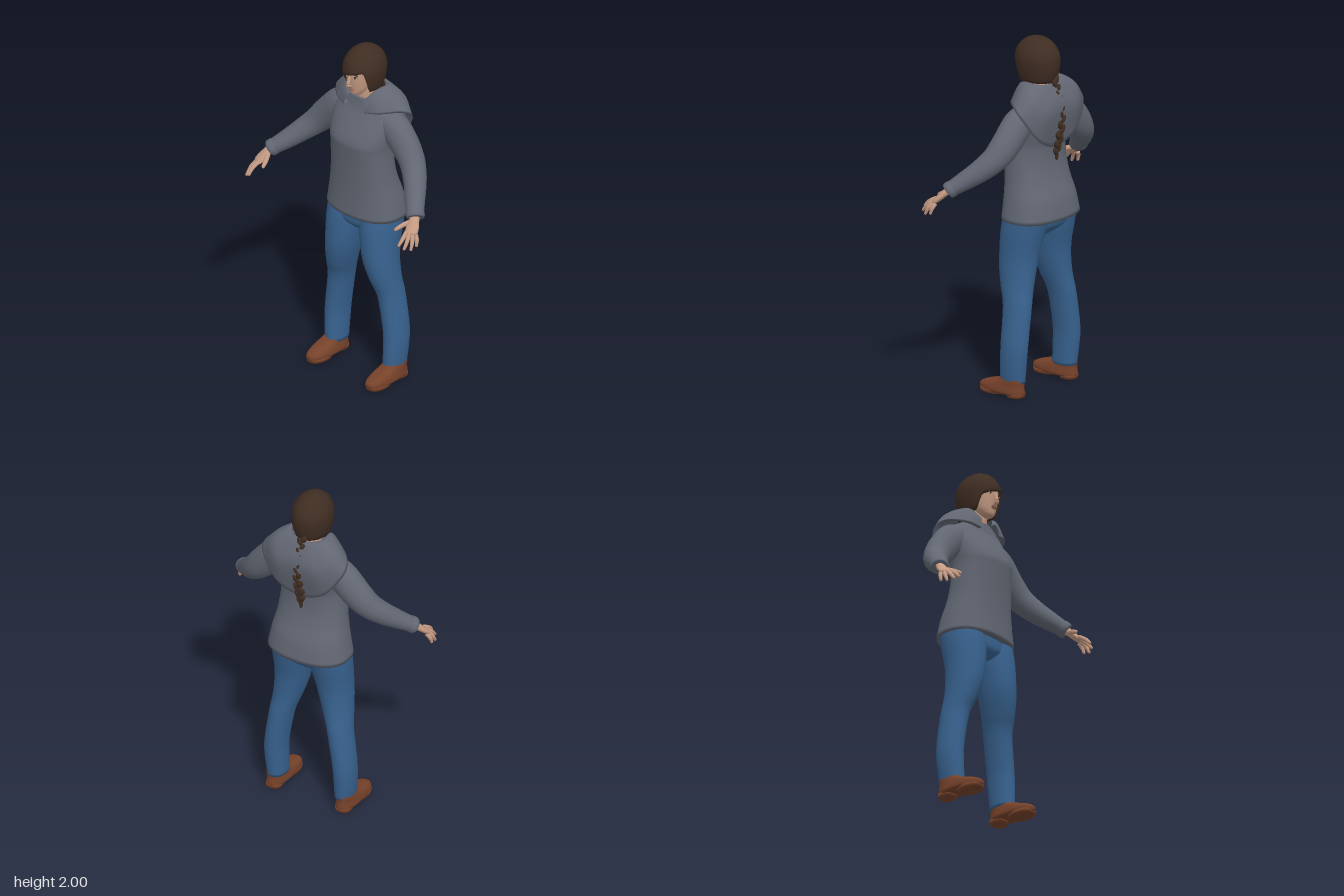
import * as THREE from 'three';

const mat = (name, color, side = THREE.FrontSide) => {
  const m = new THREE.MeshStandardMaterial({ color, side });
  m.name = name;
  return m;
};

// Catmull-Rom resampling of rows of numbers, k steps per span
function smooth(rows, k) {
  const out = [], at = i => rows[Math.max(0, Math.min(rows.length - 1, i))];
  for (let i = 0; i < rows.length - 1; i++) {
    for (let j = 0; j < k; j++) {
      const t = j / k;
      out.push(rows[i].map((b, c) => {
        const a = at(i - 1)[c], d = at(i + 1)[c], e = at(i + 2)[c];
        return 0.5 * (2 * b + (d - a) * t + (2 * a - 5 * b + 4 * d - e) * t * t + (3 * b - a - 3 * d + e) * t ** 3);
      }));
    }
  }
  out.push(rows[rows.length - 1]);
  return out;
}

// Surface through rows of [x, y, z] points, listed from bottom to top
function surface(rows, closed = true, caps = closed) {
  const n = rows[0].length, pos = rows.flat(2), idx = [];
  for (let j = 0; j < rows.length - 1; j++) {
    for (let i = 0; i < (closed ? n : n - 1); i++) {
      const k = (i + 1) % n, a = j * n + i, b = j * n + k;
      idx.push(a, b, b + n, a, b + n, a + n);
    }
  }
  if (caps) {
    [0, rows.length - 1].forEach(j => {
      const c = pos.length / 3;
      pos.push(...[0, 1, 2].map(q => rows[j].reduce((s, p) => s + p[q], 0) / n));
      for (let i = 0; i < n; i++) {
        const a = j * n + i, b = j * n + (i + 1) % n;
        if (j) idx.push(a, b, c); else idx.push(b, a, c);
      }
    });
  }
  const g = new THREE.BufferGeometry();
  g.setAttribute('position', new THREE.Float32BufferAttribute(pos, 3));
  g.setIndex(idx);
  g.computeVertexNormals();
  return g;
}

// Level cross-sections: [y, centreX, centreZ, radiusX, radiusZ], squared off by power e
function stack(sections, e = 2, k = 4, seg = 40) {
  const p = v => Math.sign(v) * Math.abs(v) ** (2 / e);
  return surface(smooth(sections, k).map(([y, cx, cz, rx, rz]) =>
    Array.from({ length: seg }, (_, i) => {
      const a = i / seg * Math.PI * 2;
      return [cx + rx * p(Math.sin(a)), y, cz + rz * p(Math.cos(a))];
    })));
}

// Limb along a path of [x, y, z, width, thickness]; s mirrors x
function limb(path, s = 1, k = 5, seg = 20) {
  const pts = smooth(path, k).map(([x, ...r]) => [x * s, ...r]);
  const up = new THREE.Vector3(0, 1, 0);
  return surface(pts.map((p, i) => {
    const a = pts[Math.max(0, i - 1)], b = pts[Math.min(pts.length - 1, i + 1)];
    const t = new THREE.Vector3(b[0] - a[0], b[1] - a[1], b[2] - a[2]).normalize();
    const u = new THREE.Vector3().crossVectors(up, t).normalize();
    const v = new THREE.Vector3().crossVectors(t, u);
    return Array.from({ length: seg }, (_, j) => {
      const q = j / seg * Math.PI * 2, c = Math.cos(q) * p[3], d = Math.sin(q) * p[4];
      return [p[0] + u.x * c + v.x * d, p[1] + u.y * c + v.y * d, p[2] + u.z * c + v.z * d];
    });
  }));
}

export function createModel() {
  const model = new THREE.Group();
  model.name = 'figure';
  const skin = mat('skin', 0xc49a82), cloth = mat('hoodieGrey', 0x626773, THREE.DoubleSide);
  const denim = mat('denim', 0x38628f), leather = mat('shoeBrown', 0x76422a);
  const hairMat = mat('hairBrown', 0x3f2d22, THREE.DoubleSide);
  const white = mat('eyeWhite', 0xcfc4ba), lipMat = mat('lips', 0x9c665a);
  const add = (name, geo, m) => {
    const o = new THREE.Mesh(geo, m);
    o.name = name;
    model.add(o);
    return o;
  };
  const ball = (name, m, p, r) => {
    const o = add(name, new THREE.SphereGeometry(1, 16, 12), m);
    o.position.set(...p);
    o.scale.set(...r);
    return o;
  };

  // Hoodie body
  add('hoodieBody', stack([
    [0.99, 0, -0.092, 0.243, 0.167], [1.1, 0, -0.085, 0.223, 0.155], [1.2, 0, -0.068, 0.203, 0.138],
    [1.3, 0, -0.055, 0.192, 0.13], [1.4, 0, -0.05, 0.187, 0.135], [1.46, 0, -0.057, 0.193, 0.143],
    [1.55, 0, -0.085, 0.205, 0.127], [1.62, 0, -0.1, 0.19, 0.102], [1.665, 0, -0.1, 0.15, 0.088],
    [1.695, 0, -0.09, 0.09, 0.072]], 2.35), cloth);

  // Hood: half profiles from collar to hem, front to back, then mirrored
  const half = [
    [[0.05, 1.70, -0.02], [0.058, 1.705, 0], [0.068, 1.675, 0.012], [0.075, 1.637, 0.014]],
    [[0.09, 1.755, -0.05], [0.105, 1.755, -0.04], [0.13, 1.715, -0.025], [0.16, 1.652, -0.015]],
    [[0.1, 1.765, -0.11], [0.125, 1.765, -0.11], [0.18, 1.73, -0.11], [0.245, 1.655, -0.11]],
    [[0.09, 1.76, -0.14], [0.115, 1.76, -0.165], [0.185, 1.70, -0.195], [0.255, 1.6, -0.18]],
    [[0.05, 1.755, -0.17], [0.07, 1.745, -0.195], [0.13, 1.62, -0.245], [0.15, 1.46, -0.215]],
    [[0, 1.755, -0.18], [0, 1.745, -0.2], [0, 1.62, -0.25], [0, 1.4, -0.207]]];
  const flip = half.slice(0, -1).reverse().map(pr => pr.map(([x, y, z]) => [-x, y, z]));
  const profiles = [...half, ...flip].map(pr => smooth(pr, 5));
  const hoodRows = profiles[0].map((_, v) => smooth(profiles.map(pr => pr[v]), 6));
  const hem = hoodRows[hoodRows.length - 1].map(([x, y, z]) => [x * 0.86, y + 0.005, z + (-0.1 - z) * 0.25]);
  add('hood', surface([...hoodRows, hem].reverse(), false), cloth);

  // Hips
  add('hips', stack([[0.885, 0, -0.07, 0.04, 0.07], [0.92, 0, -0.075, 0.15, 0.11],
    [0.96, 0, -0.085, 0.215, 0.127], [1.04, 0, -0.092, 0.222, 0.13]], 2.3), denim);

  for (const s of [1, -1]) {
    const side = s > 0 ? 'left' : 'right';

    // Trouser leg
    add(side + 'Leg', stack([
      [0.08, 0.213, -0.078, 0.053, 0.076], [0.18, 0.217, -0.085, 0.059, 0.08], [0.3, 0.214, -0.091, 0.062, 0.083],
      [0.5, 0.184, -0.085, 0.067, 0.085], [0.6, 0.162, -0.065, 0.077, 0.096], [0.7, 0.143, -0.053, 0.089, 0.108],
      [0.8, 0.13, -0.055, 0.099, 0.116], [0.92, 0.12, -0.072, 0.111, 0.128], [1.02, 0.115, -0.092, 0.112, 0.131],
    ].map(([y, x, ...r]) => [y, x * s, ...r]), 2.1), denim);

    // Shoe upper, ball of the sole and heel
    const x = 0.219 * s;
    add(side + 'Shoe', stack([
      [0.014, x, -0.008, 0.054, 0.144], [0.025, x, -0.008, 0.06, 0.148], [0.045, x, -0.01, 0.059, 0.144],
      [0.065, x, -0.03, 0.055, 0.122], [0.09, x, -0.07, 0.05, 0.083], [0.115, x, -0.085, 0.045, 0.064]], 2.4), leather);
    add(side + 'Sole', stack([[0, x, 0.055, 0.053, 0.078], [0.022, x, 0.055, 0.057, 0.082]], 2.3, 1), leather);
    add(side + 'Heel', stack([[0, x, -0.105, 0.044, 0.047], [0.022, x, -0.105, 0.046, 0.049]], 2.6, 1), leather);

    // Sleeve and cuff
    add(side + 'Sleeve', limb([
      [0.12, 1.585, -0.1, 0.07, 0.07], [0.2, 1.545, -0.1, 0.079, 0.09], [0.3, 1.445, -0.093, 0.075, 0.084],
      [0.36, 1.38, -0.07, 0.07, 0.072], [0.42, 1.32, -0.02, 0.063, 0.062], [0.48, 1.262, 0.045, 0.055, 0.051],
      [0.533, 1.215, 0.1, 0.047, 0.041]], s), cloth);
    add(side + 'Cuff', limb([
      [0.515, 1.232, 0.08, 0.046, 0.04], [0.522, 1.225, 0.088, 0.051, 0.046],
      [0.537, 1.212, 0.104, 0.051, 0.045], [0.541, 1.208, 0.108, 0.042, 0.036]], s, 3), cloth);

    // Hand
    add(side + 'Palm', limb([
      [0.525, 1.225, 0.09, 0.026, 0.022], [0.543, 1.2, 0.118, 0.028, 0.02], [0.556, 1.172, 0.145, 0.036, 0.018],
      [0.568, 1.148, 0.17, 0.035, 0.015], [0.573, 1.14, 0.178, 0.026, 0.01]], s, 4), skin);
    const fingers = {
      Index: [[0.547, 1.155, 0.185], [0.557, 1.13, 0.225], [0.556, 1.102, 0.254]],
      Middle: [[0.563, 1.147, 0.182], [0.58, 1.118, 0.215], [0.584, 1.086, 0.242]],
      Ring: [[0.577, 1.141, 0.17], [0.597, 1.112, 0.192], [0.604, 1.076, 0.21]],
      Pinky: [[0.587, 1.14, 0.152], [0.603, 1.115, 0.162], [0.608, 1.086, 0.17]],
      Thumb: [[0.533, 1.19, 0.125], [0.508, 1.175, 0.17], [0.491, 1.157, 0.212]],
    };
    for (const [name, [a, b, c]] of Object.entries(fingers)) {
      const r = name === 'Thumb' ? 0.014 : 0.0115;
      add(side + name, limb([[...a, r, r], [...b, r, r], [...c, r * 0.7, r * 0.7]], s, 4, 10), skin);
      ball(side + name + 'Tip', skin, [c[0] * s, c[1], c[2]], [0.0085, 0.0085, 0.0085]);
    }

    // Eye, iris and brow
    ball(side + 'Eye', white, [0.034 * s, 1.853, 0.041], [0.014, 0.006, 0.005]);
    ball(side + 'Iris', hairMat, [0.034 * s, 1.853, 0.0435], [0.006, 0.006, 0.004]);
    ball(side + 'Lid', hairMat, [0.034 * s, 1.859, 0.043], [0.016, 0.0025, 0.004]);
    ball(side + 'Brow', hairMat, [0.036 * s, 1.873, 0.043], [0.02, 0.004, 0.005]).rotation.z = -0.08 * s;
  }

  // Neck and head
  add('neck', stack([[1.62, 0, -0.09, 0.06, 0.055], [1.7, 0, -0.08, 0.053, 0.054], [1.8, 0, -0.07, 0.053, 0.055]]), skin);
  add('head', stack([
    [1.73, 0, 0, 0.018, 0.022], [1.738, 0, -0.006, 0.034, 0.037], [1.765, 0, -0.022, 0.055, 0.06],
    [1.8, 0, -0.04, 0.068, 0.085], [1.83, 0, -0.05, 0.075, 0.1], [1.87, 0, -0.056, 0.079, 0.11],
    [1.92, 0, -0.06, 0.08, 0.11], [1.96, 0, -0.06, 0.05, 0.07]]), skin);
  add('nose', limb([
    [0, 1.79, 0.04, 0.011, 0.012], [0, 1.803, 0.058, 0.015, 0.012], [0, 1.815, 0.06, 0.011, 0.012],
    [0, 1.855, 0.048, 0.008, 0.009], [0, 1.87, 0.044, 0.006, 0.006]], 1, 4, 14), skin);
  ball('upperLip', lipMat, [0, 1.779, 0.042], [0.023, 0.0045, 0.008]);
  ball('lowerLip', lipMat, [0, 1.771, 0.039], [0.019, 0.005, 0.008]);

  // Hair: a shell whose lower edge sweeps across the brow and drops at the sides
  const hairRows = [], seg = 96, steps = 18;
  const edge = a => {
    const d = THREE.MathUtils.smoothstep(Math.abs(a), 0.72, 1.15);
    return (1.868 + 0.03 * Math.max(-1, Math.min(1, a))) * (1 - d) + 1.758 * d;
  };
  const radius = y => y > 1.87 ? 0.11 * Math.sqrt(Math.max(0, 1 - ((y - 1.87) / 0.13) ** 2))
    : 0.11 - 0.022 * ((1.87 - y) / 0.12) ** 2;
  for (let j = 0; j <= steps + 1; j++) {
    hairRows.unshift(Array.from({ length: seg }, (_, i) => {
      let a = i / seg * Math.PI * 2;
      if (a > Math.PI) a -= Math.PI * 2;
      const y = 2 - (2 - edge(a)) * Math.min(1, j / steps) ** 1.7;
      const r = radius(y) * (j > steps ? 0.8 : 1);
      return [r * Math.sin(a), y, -0.07 + 1.23 * r * Math.cos(a)];
    }));
  }
  add('hair', surface(hairRows, true, false), hairMat);

  // Braid: overlapping strands alternating left and right, ending in a tuft
  const braid = smooth([[1.77, -0.19, 0.022], [1.7, -0.215, 0.018], [1.62, -0.241, 0.017],
    [1.53, -0.235, 0.024], [1.44, -0.217, 0.026], [1.37, -0.205, 0.02]], 3);
  braid.forEach(([y, z, r], i) => {
    const d = i % 2 ? 1 : -1;
    ball('braidStrand', hairMat, [d * r * 0.45 - 0.005, y, z], [r * 0.75, r * 1.25, r * 0.65]).rotation.z = -d * 0.5;
  });
  ball('braidTuft', hairMat, [-0.005, 1.35, -0.203], [0.011, 0.034, 0.01]);

  return model;
}
